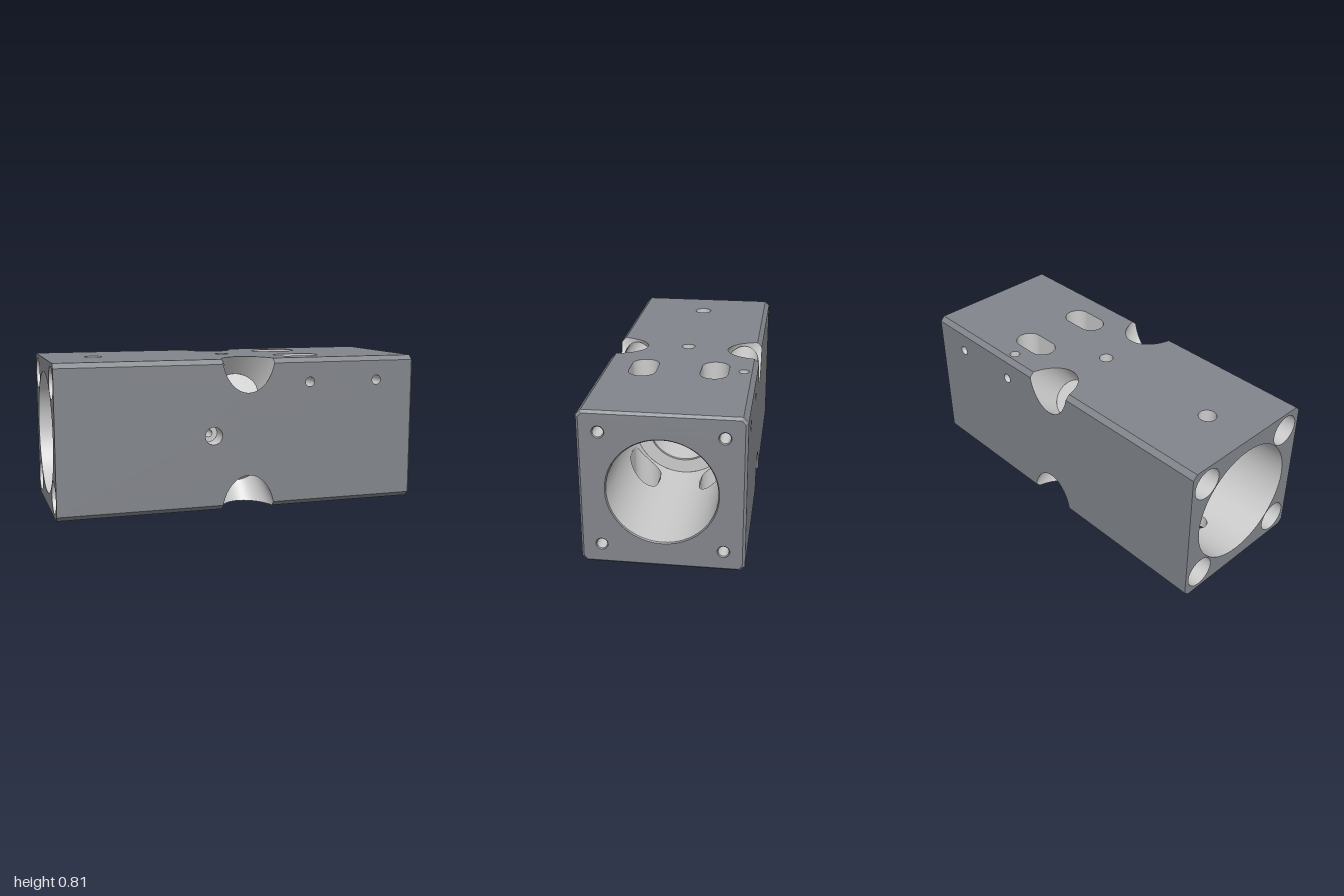
import * as THREE from 'three';
import { mergeVertices } from 'three/addons/utils/BufferGeometryUtils.js';

const H = 0.403, C = 0.025, E = 0.013;              // half height, edge chamfer, end chamfer
const NX = 0.027, FLOOR = 0.25;                     // notch centre and depth along the diagonal
const STEP_L = -0.25, STEP_R = 0.22;                // inner wall between the two bores
const R_L = 0.33, R_R = 0.27, R_IN = 0.19;          // bore radii
const CORNER = 0.298, R_CORNER = 0.085;             // corner holes

const outer = new THREE.MeshStandardMaterial({ color: 0x82858b, side: THREE.DoubleSide });
const inner = new THREE.MeshStandardMaterial({ color: 0xcccccc, side: THREE.DoubleSide });
const V = (x, y, z) => new THREE.Vector3(x, y, z);
const half = (r, d) => Math.sqrt(Math.max(0, r * r - d * d));

// Surface swept from n rows of paired points; each pair spans one band
function strip(name, n, row, mat = inner, smooth = true) {
  const pos = [];
  const quad = (a, b, c, d) => [a, b, c, a, c, d].forEach((p) => pos.push(p.x, p.y, p.z));
  for (let i = 0; i < n; i++) {
    const A = row(i / n), B = row((i + 1) / n);
    for (let j = 0; j < A.length; j += 2) quad(A[j], A[j + 1], B[j + 1], B[j]);
  }
  let geo = new THREE.BufferGeometry();
  geo.setAttribute('position', new THREE.Float32BufferAttribute(pos, 3));
  if (smooth) geo = mergeVertices(geo, 1e-5);
  geo.computeVertexNormals();
  const mesh = new THREE.Mesh(geo, mat);
  mesh.name = name;
  return mesh;
}

// Flat face with holes, placed by a map from (u, v) to space
function face(name, pts, holes, map, mat = outer) {
  const shape = new THREE.Shape(pts.map(([u, v]) => new THREE.Vector2(u, v)));
  for (const h of holes) {
    const ring = [];
    for (let i = 0; i < 48; i++) ring.push(new THREE.Vector2(...h(i / 48)));
    shape.holes.push(new THREE.Path(ring));
  }
  const geo = new THREE.ShapeGeometry(shape);
  const p = geo.attributes.position;
  for (let i = 0; i < p.count; i++) {
    const q = map(p.getX(i), p.getY(i));
    p.setXYZ(i, q.x, q.y, q.z);
  }
  geo.computeVertexNormals();
  const mesh = new THREE.Mesh(geo, mat);
  mesh.name = name;
  return mesh;
}

// Round or slotted hole outline; e is half the straight length
const outline = (u, v, r, e = 0) => (t) => {
  const a = t * Math.PI * 2, c = Math.cos(a);
  return [u + (c >= 0 ? e : -e) + r * c, v + r * Math.sin(a)];
};
const ringPts = (o, n = 48) => Array.from({ length: n }, (_, i) => o(i / n));
const octagon = (h, k) => [[h, -k], [h, k], [k, h], [-k, h], [-h, k], [-h, -k], [-k, -h], [k, -h]];

// Tapered notch: radius at depth, and depth where it meets the outside
const coneR = (t) => 0.147 - 0.157 * t;
const T0 = C / Math.SQRT2;
const coneTop = (s) => Math.max(T0, (0.147 * s) / (1 + 0.157 * s));
const NW = half(coneR(T0), T0);

// Long side outline with a bite at both edges
function sideOutline() {
  const k = H - C, bite = [];
  const phi0 = Math.asin(T0 / coneR(T0));
  for (let i = 0; i <= 24; i++) {
    const phi = phi0 + (Math.PI - 2 * phi0) * (i / 24);
    const t = coneTop(Math.sin(phi));
    bite.push([NX - coneR(t) * Math.cos(phi), H - Math.SQRT2 * t]);
  }
  const low = bite.map(([x, v]) => [x, -v]);
  return [[-1, -k], ...low, [1 - E, -k], [1 - E, k], ...bite.reverse(), [-1, k]];
}

export function createModel() {
  const model = new THREE.Group();
  const body = new THREE.Group();
  body.name = 'block';
  body.position.y = H;
  model.add(body);
  const add = (...m) => body.add(...m);

  // Holes in the long sides: outline plus inner end (bore radius or blind floor)
  const cross = (o, R) => ({ o, end: (v) => half(R, v) });
  const blind = (o, n, floor) => ({ o, end: () => n, floor });
  const vertical = [
    cross(outline(-0.733, 0, 0.047), R_L),
    cross(outline(0.377, 0.186, 0.072, 0.056), R_R),
    cross(outline(0.377, -0.186, 0.072, 0.056), R_R),
    cross(outline(0.377, -0.337, 0.027), R_R),
    blind(outline(0, 0, 0.037), 0.26, []),
  ];
  const horizontal = [
    cross(outline(0.377, 0.271, 0.026), R_R),
    cross(outline(0.773, 0.271, 0.026), R_R),
  ];
  const pin = outline(-0.167, 0, 0.02);
  const frontOnly = blind(outline(-0.167, 0, 0.047), 0.3, [pin]);
  const sides = {
    top: [(u, v, n) => V(u, n, v), vertical],
    bottom: [(u, v, n) => V(u, -n, v), vertical],
    front: [(u, v, n) => V(u, v, n), [...horizontal, frontOnly]],
    back: [(u, v, n) => V(u, v, -n), horizontal],
  };
  for (const [name, [map, holes]] of Object.entries(sides)) {
    add(face(name + 'Face', sideOutline(), holes.map((h) => h.o), (u, v) => map(u, v, H)));
    for (const { o, end, floor } of holes) {
      add(strip(name + 'HoleWall', 48, (t) => {
        const [u, v] = o(t);
        return [map(u, v, H), map(u, v, end(v))];
      }));
      if (floor) add(face(name + 'HoleFloor', ringPts(o), floor, (u, v) => map(u, v, end(v)), inner));
    }
  }
  add(strip('pinHole', 32, (t) => {
    const [u, v] = pin(t);
    return [V(u, v, 0.3), V(u, v, half(R_IN, v))];
  }));

  // End faces and the chamfer around the right end
  const corners = [[1, 1], [1, -1], [-1, 1], [-1, -1]];
  const cornerRings = (r) => corners.map(([a, b]) => outline(a * CORNER, b * CORNER, r));
  add(face('leftEnd', octagon(H, H - C), [outline(0, 0, R_L), ...cornerRings(R_CORNER)], (z, y) => V(-1, y, z)));
  const rim = octagon(H - E, H - C - E / 2), wide = octagon(H, H - C);
  add(face('rightEnd', rim, [outline(0, 0, 0.276), ...cornerRings(0.031)], (z, y) => V(1, y, z)));
  add(strip('endChamfer', 8, (t) => {
    const i = Math.round(t * 8) % 8;
    return [V(1, rim[i][1], rim[i][0]), V(1 - E, wide[i][1], wide[i][0])];
  }, outer, false));

  // Bores along the block, opened where cross holes break through
  const bore = (name, R, x0, x1, gaps = []) => add(strip(name, 256, (t) => {
    const y = R * Math.sin(t * Math.PI * 2), z = R * Math.cos(t * Math.PI * 2);
    const xs = [x0];
    for (const [x, h] of gaps) xs.push(x - h(y, z), x + h(y, z));
    return [...xs, x1].map((x) => V(x, y, z));
  }));
  const groove = (y) => half(0.026, y - 0.271);
  const slot = (z) => {
    const d = Math.abs(z) - 0.186;
    return Math.abs(d) < 0.072 ? 0.056 + half(0.072, d) : 0;
  };
  bore('leftBore', R_L, -1, STEP_L, [[-0.733, (y, z) => half(0.047, z)]]);
  bore('rightBore', R_R, STEP_R, 0.994, [
    [0.377, (y, z) => Math.max(slot(z), groove(y))],
    [0.773, (y) => groove(y)],
  ]);
  bore('middleBore', R_IN, STEP_L, STEP_R - 0.006);

  // Conical rims and the flat shoulders of the inner wall
  const rimCone = (name, xa, ra, xb, rb, cy = 0, cz = 0, mat = inner) => add(strip(name, 64, (t) => {
    const c = Math.cos(t * Math.PI * 2), s = Math.sin(t * Math.PI * 2);
    return [V(xa, cy + ra * s, cz + ra * c), V(xb, cy + rb * s, cz + rb * c)];
  }, mat));
  rimCone('rightBoreChamfer', 1, 0.276, 0.994, R_R, 0, 0, outer);
  rimCone('middleBoreChamfer', STEP_R, R_IN + 0.005, STEP_R - 0.006, R_IN, 0, 0, outer);
  rimCone('rightShoulder', STEP_R, R_R, STEP_R, R_IN + 0.005);
  rimCone('leftShoulder', STEP_L, R_L, STEP_L, R_IN);

  for (const [sy, sz] of corners) {
    // t runs inward along the diagonal from the edge, p across it
    const at = (x, t, p) => V(x, sy * (H - (t - p) / Math.SQRT2), sz * (H - (t + p) / Math.SQRT2));
    const tc = (H - CORNER) * Math.SQRT2;

    // Edge chamfers either side of the notch
    for (const [a, b] of [[-1, NX - NW], [NX + NW, 1 - E]]) {
      add(strip('edgeChamfer', 1, (k) => {
        const p = k ? T0 : -T0;
        return [at(a, T0, p), at(b, T0, p)];
      }, outer, false));
    }

    // Notch wall with a window into the corner hole, and its floor
    add(strip('notchWall', 128, (k) => {
      const phi = k * Math.PI * 2, c = Math.cos(phi), s = Math.sin(phi);
      const w = c < 0 ? half(R_CORNER, coneR(tc) * s) : 0;
      const top = coneTop(Math.abs(s));
      const mid = Math.max(tc, top);
      return [top, Math.max(mid - w, top), mid + w, FLOOR]
        .map((t) => at(NX + coneR(t) * c, t, coneR(t) * s));
    }));
    add(face('notchFloor', ringPts(outline(NX, 0, coneR(FLOOR))), [], (x, p) => at(x, FLOOR, p), inner));

    // Wide corner hole from the left end to the notch
    add(strip('cornerHole', 48, (k) => {
      const [t, p] = outline(tc, 0, R_CORNER)(k);
      return [at(-1, t, p), at(NX - half(coneR(t), p), t, p)];
    }));

    // Small blind screw hole in the right end
    const y = sy * CORNER, z = sz * CORNER;
    rimCone('screwHoleChamfer', 1, 0.031, 0.995, 0.026, y, z, outer);
    rimCone('screwHole', 0.995, 0.026, 0.7, 0.026, y, z);
    add(face('screwHoleFloor', ringPts(outline(z, y, 0.026)), [], (a, b) => V(0.7, b, a), inner));
  }
  return model;
}
